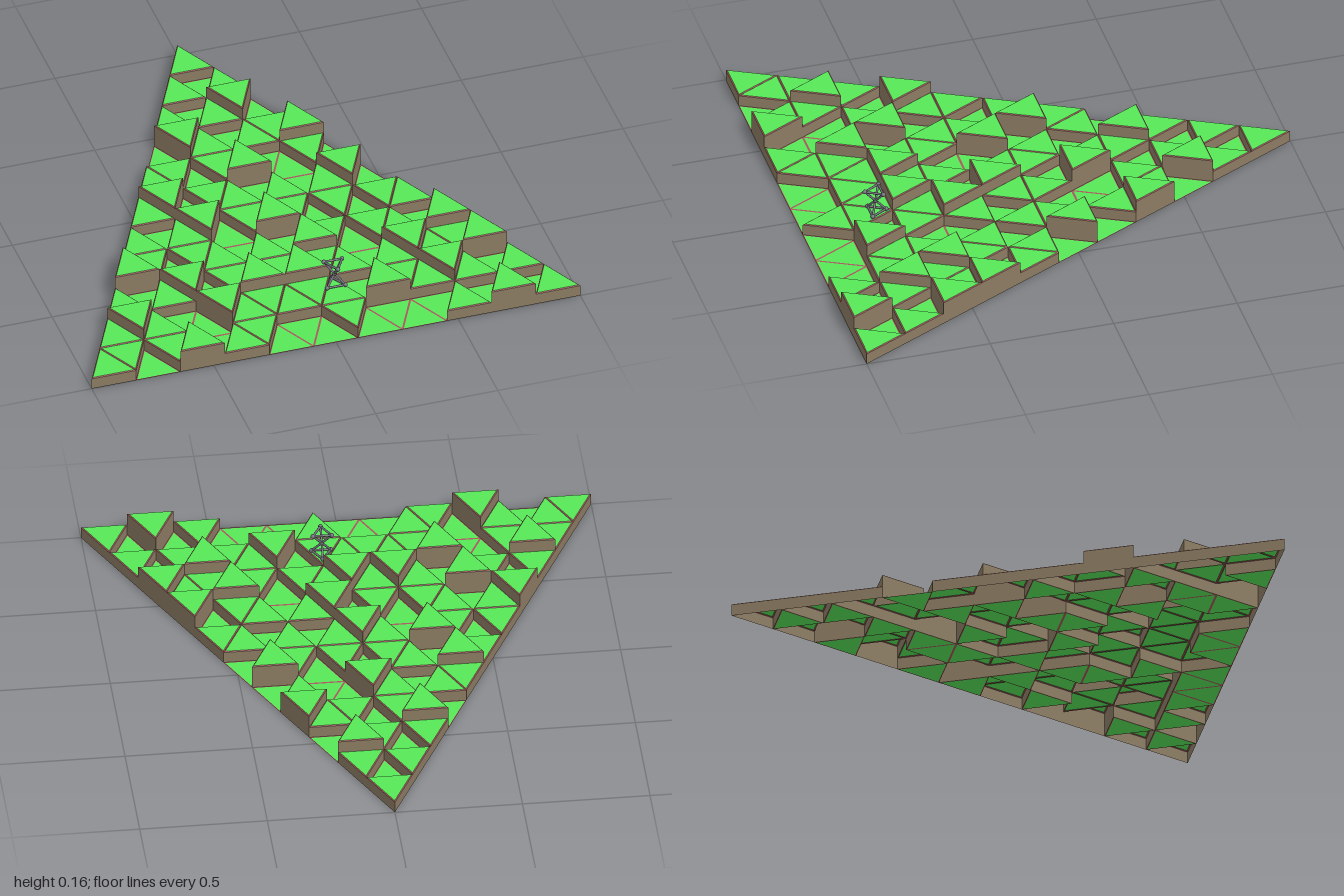
import * as THREE from 'three';

const material = (name, color, side = THREE.FrontSide) => {
  const m = new THREE.MeshStandardMaterial({ color, side });
  m.name = name;
  return m;
};

// Step height of every tile, front row first; up and down triangles alternate.
const ROWS = [
  '110120110001000010201',
  '1210021111102112101',
  '10120121211012112',
  '210110102101102',
  '1012012101011',
  '12011010120',
  '110120010',
  '0210112',
  '10120',
  '101',
  '1',
];
const SIZE = 2 / ROWS.length;
const STEP = 0.05;
const BEVEL = 0.003;

const heightAt = (row, index) => Number(ROWS[row]?.[index] ?? 0);
const rimY = (h) => Math.max(0, h * STEP - BEVEL);
const corner = (row, k) => new THREE.Vector2(-1 + row * SIZE / 2 + k * SIZE, 1 - row * SIZE);

function surface(name, positions, mat) {
  const g = new THREE.BufferGeometry();
  g.setAttribute('position', new THREE.Float32BufferAttribute(positions, 3));
  g.computeVertexNormals();
  const mesh = new THREE.Mesh(g, mat);
  mesh.name = name;
  return mesh;
}

function addQuad(out, a, b, c, d) {
  for (const p of [a, b, c, a, c, d]) out.push(...p);
}

// Stepped field of triangular tiles
function createTerrain() {
  const tops = [], rims = [], walls = [];
  ROWS.forEach((row, i) => {
    for (let n = 0; n < row.length; n++) {
      const k = Math.floor(n / 2);
      const up = n % 2 === 0;
      const h = heightAt(i, n);
      const pts = up
        ? [corner(i, k), corner(i, k + 1), corner(i + 1, k)]
        : [corner(i, k + 1), corner(i + 1, k + 1), corner(i + 1, k)];
      // tiles across each of the three edges
      const neighbours = up
        ? [[i - 1, n + 1], [i, n + 1], [i, n - 1]]
        : [[i, n + 1], [i + 1, n - 1], [i, n - 1]];

      const centre = pts[0].clone().add(pts[1]).add(pts[2]).divideScalar(3);
      const inner = pts.map((p) => p.clone().lerp(centre, 0.07));
      for (const p of inner) tops.push(p.x, h * STEP, p.y);

      for (let e = 0; e < 3; e++) {
        const a = pts[e], b = pts[(e + 1) % 3];
        const ia = inner[e], ib = inner[(e + 1) % 3];
        const y = rimY(h);
        addQuad(rims, [a.x, y, a.y], [b.x, y, b.y], [ib.x, h * STEP, ib.y], [ia.x, h * STEP, ia.y]);
        const low = heightAt(...neighbours[e]);
        if (h > low) {
          const y0 = rimY(low);
          addQuad(walls, [a.x, y0, a.y], [b.x, y0, b.y], [b.x, y, b.y], [a.x, y, a.y]);
        }
      }
    }
  });
  const group = new THREE.Group();
  group.name = 'terrain';
  group.add(
    surface('grassTops', tops, material('grass green', 0x58e858, THREE.DoubleSide)),
    surface('tileRims', rims, material('reddish soil', 0xa8585e, THREE.DoubleSide)),
    surface('earthWalls', walls, material('earth brown', 0x8b7b62, THREE.DoubleSide)),
  );
  return group;
}

// Small hourglass frame of rods and joints
function createFrame() {
  const group = new THREE.Group();
  group.name = 'rodFrame';
  const metal = material('metal grey', 0x70707a);
  const rod = (a, b) => {
    const mesh = new THREE.Mesh(new THREE.CylinderGeometry(0.0045, 0.0045, a.distanceTo(b), 16), metal);
    mesh.name = 'rod';
    mesh.position.copy(a).lerp(b, 0.5);
    mesh.quaternion.setFromUnitVectors(new THREE.Vector3(0, 1, 0), b.clone().sub(a).normalize());
    group.add(mesh);
  };
  const joint = (p) => {
    const mesh = new THREE.Mesh(new THREE.SphereGeometry(0.009, 20, 14), metal);
    mesh.name = 'joint';
    mesh.position.copy(p);
    group.add(mesh);
  };
  const waist = new THREE.Vector3(0, 0.056, 0);
  joint(waist);
  for (const [y, turn] of [[0.009, Math.PI], [0.105, 0]]) {
    const ring = [0, 1, 2].map((i) => {
      const t = turn + i * Math.PI * 2 / 3;
      return new THREE.Vector3(0.043 * Math.sin(t), y, 0.043 * Math.cos(t));
    });
    ring.forEach((p, i) => {
      joint(p);
      rod(p, waist);
      rod(p, ring[(i + 1) % 3]);
    });
  }
  group.position.set(0.09, 0.05, 0.705);
  return group;
}

export function createModel() {
  const model = new THREE.Group();
  model.name = 'triangleTerrain';
  model.add(createTerrain(), createFrame());
  return model;
}
